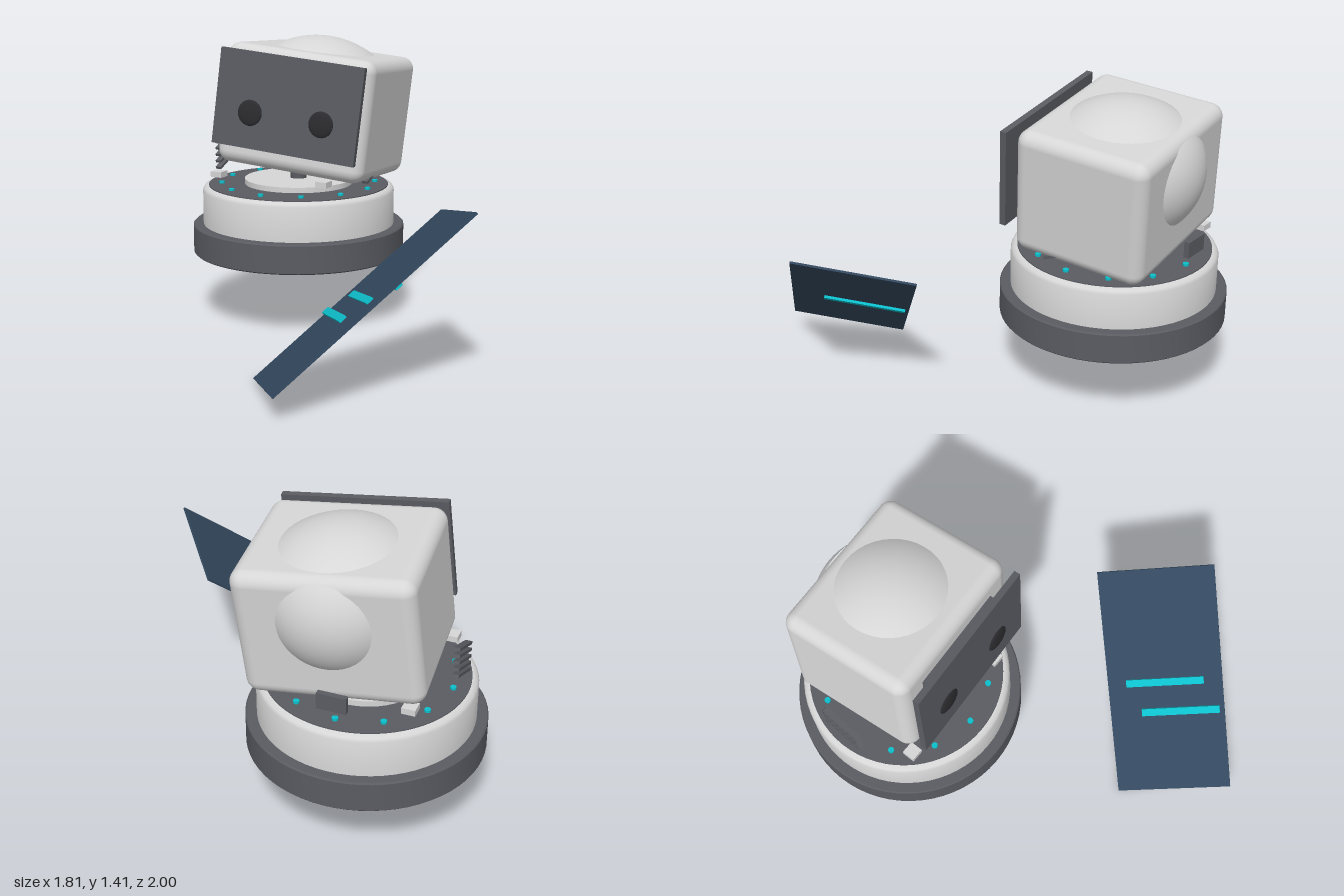
import * as THREE from 'three';
import { RoundedBoxGeometry } from 'three/addons/geometries/RoundedBoxGeometry.js';
import { toCreasedNormals } from 'three/addons/utils/BufferGeometryUtils.js';

const mat = (name, color) => Object.assign(new THREE.MeshStandardMaterial({ color }), { name });
const V = (x, y, z) => new THREE.Vector3(x, y, z);

export function createModel() {
  const root = new THREE.Group();
  root.name = 'robot';
  const shell = mat('lightShell', 0xd6d6d6);
  const dark = mat('darkGrey', 0x5a5c62);
  const black = mat('eyeBlack', 0x2c2c30);
  const navy = mat('panelNavy', 0x33485e);
  const cyan = mat('glowCyan', 0x0cc0cc);

  const add = (parent, name, geo, material, x = 0, y = 0, z = 0) => {
    const m = new THREE.Mesh(geo, material);
    m.name = name;
    m.position.set(x, y, z);
    parent.add(m);
    return m;
  };
  const box = (w, h, d) => new THREE.BoxGeometry(w, h, d);
  const lathe = (pts) => toCreasedNormals(
    new THREE.LatheGeometry(pts.map((p) => new THREE.Vector2(...p)), 64), 0.7);
  // spherical cap with its rim at y = 0
  const cap = (r, h) => {
    const R = (r * r + h * h) / (2 * h);
    const g = new THREE.SphereGeometry(R, 40, 14, 0, Math.PI * 2, 0, Math.asin(r / R) * 1.03);
    return g.translate(0, h - R, 0);
  };
  // group turned so that its local x and y follow the given directions
  const oriented = (name, pos, xDir, yDir) => {
    const g = new THREE.Group();
    g.name = name;
    const x = xDir.clone().normalize();
    const z = x.clone().cross(yDir).normalize();
    const y = z.clone().cross(x);
    g.quaternion.setFromRotationMatrix(new THREE.Matrix4().makeBasis(x, y, z));
    g.position.copy(pos);
    root.add(g);
    return g;
  };

  // round base
  const base = new THREE.Group();
  base.name = 'base';
  base.position.set(-0.375, 0, -0.47);
  root.add(base);
  add(base, 'bumper', lathe([[0, 0.33], [0.524, 0.33], [0.53, 0.336], [0.53, 0.47], [0.524, 0.476], [0, 0.476]]), dark);
  add(base, 'body', lathe([[0, 0.46], [0.48, 0.46], [0.48, 0.645], [0.473, 0.66], [0.458, 0.668], [0, 0.668]]), shell);
  add(base, 'deck', new THREE.CylinderGeometry(0.45, 0.45, 0.008, 64), dark, 0, 0.669, 0);
  add(base, 'turntable', new THREE.CylinderGeometry(0.27, 0.27, 0.035, 48), shell, 0, 0.682, 0);
  add(base, 'neck', new THREE.CylinderGeometry(0.04, 0.04, 0.14, 24), dark, 0, 0.755, 0);
  add(base, 'neckCollar', new THREE.CylinderGeometry(0.056, 0.056, 0.03, 24), dark, 0, 0.758, 0);
  add(base, 'undersideSensor', new THREE.SphereGeometry(1, 24, 12), black, 0, 0.331, 0.38).scale.set(0.1, 0.017, 0.035);

  // status lights around the deck
  for (let i = 0; i < 12; i++) {
    const a = (i * Math.PI) / 6;
    add(base, 'statusLight', new THREE.CylinderGeometry(0.014, 0.014, 0.014, 12), cyan,
      Math.sin(a) * 0.385, 0.677, Math.cos(a) * 0.385);
  }
  // clips on the diagonals
  for (const sx of [-1, 1]) for (const sz of [-1, 1])
    add(base, 'clip', box(0.06, 0.028, 0.06), shell, sx * 0.29, 0.742, sz * 0.29);
  // tilted vent slats on both sides
  for (const s of [-1, 1]) for (let i = 0; i < 5; i++)
    add(base, 'ventSlat', box(0.03, 0.013, 0.2), dark, s * 0.415, 0.766 + i * 0.033, 0).rotation.x = 0.4;
  add(base, 'rearPort', box(0.13, 0.075, 0.025), dark, 0, 0.782, -0.42);

  // tilted head
  const head = oriented('head', V(-0.3, 1.047, -0.53), V(0.992, -0.098, -0.081), V(0.095, 0.992, -0.075));
  add(head, 'headShell', new RoundedBoxGeometry(0.77, 0.59, 0.64, 5, 0.06), shell);
  add(head, 'topDome', cap(0.245, 0.07), shell, 0, 0.294, -0.015);
  add(head, 'rearDome', cap(0.2, 0.07), shell, 0, 0.07, -0.319).rotation.x = -Math.PI / 2;
  add(head, 'facePlate', box(0.742, 0.466, 0.03), dark, 0, 0.036, 0.38);
  add(head, 'faceMount', box(0.5, 0.3, 0.06), dark, 0, 0.036, 0.34);
  for (const s of [-1, 1])
    add(head, 'eye', new THREE.SphereGeometry(0.063, 28, 16), black, s * 0.185, -0.024, 0.395).scale.z = 0.2;

  // detached slanted panel with glowing bars
  const panel = oriented('solarPanel', V(0.4285, 0.406, 0.458), V(0.603, 0.19, 0.776), V(-0.587, 0.765, 0.269));
  add(panel, 'panelSheet', box(0.554, 0.01, 1.129), navy);
  for (const [x, y, z] of [[0, 0.008, 0], [0.068, 0.043, 0.14], [-0.068, -0.043, -0.14]])
    add(panel, 'glowBar', box(0.375, 0.012, 0.036), cyan, x, y, z);

  return root;
}
